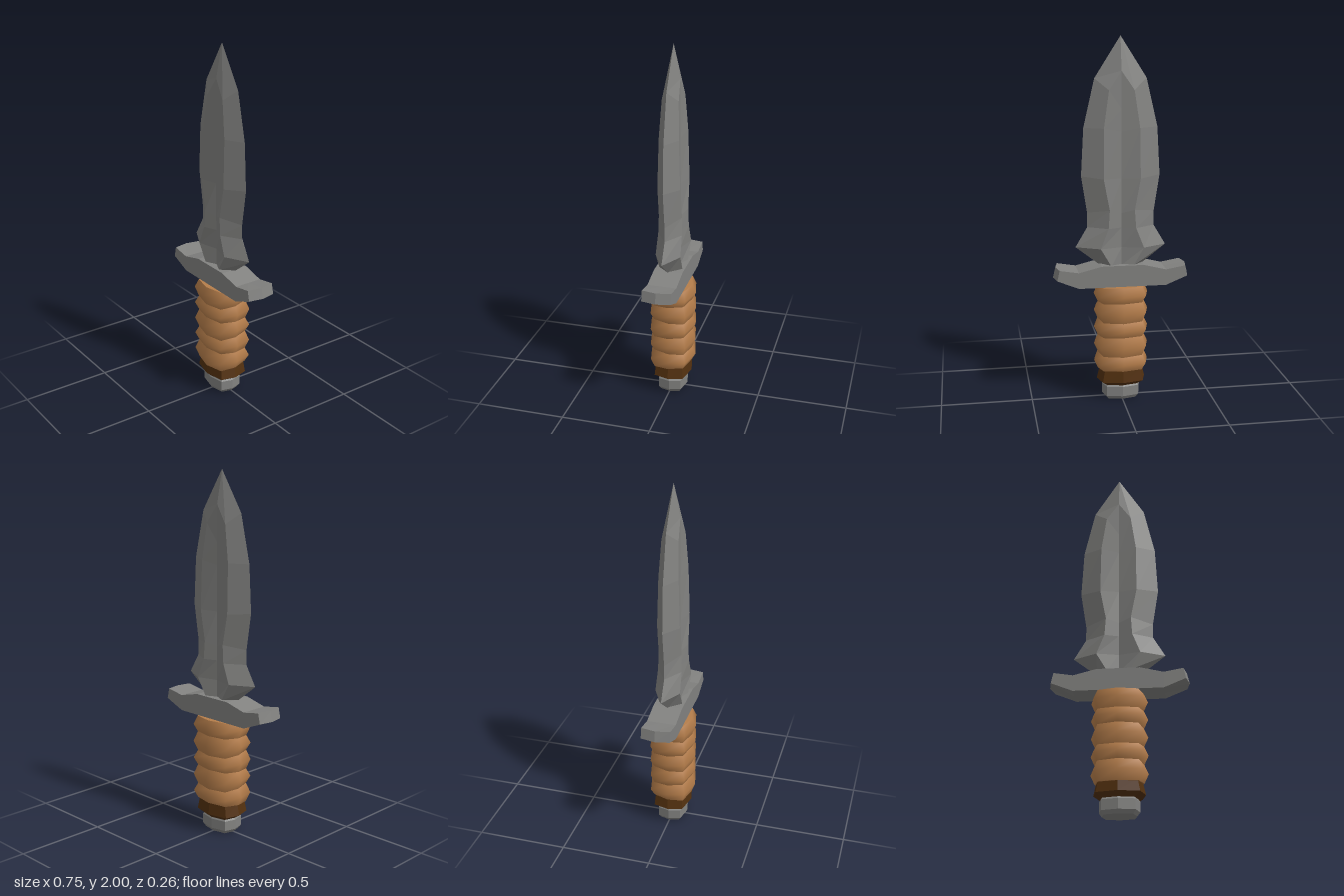
import * as THREE from 'three';

const metal = new THREE.MeshStandardMaterial({ color: 0x828280 });
metal.name = 'grey metal';
const leather = new THREE.MeshStandardMaterial({ color: 0xb67e4b });
leather.name = 'tan leather';
const darkLeather = new THREE.MeshStandardMaterial({ color: 0x52300f });
darkLeather.name = 'dark leather';

// Skin a stack of rings (bottom to top, each running from +x towards +z) and cap both ends
function loft(rings, smooth) {
  const n = rings[0].length, pos = rings.flat(2), idx = [];
  for (let r = 0; r < rings.length - 1; r++) {
    for (let i = 0; i < n; i++) {
      const a = r * n + i, b = r * n + (i + 1) % n;
      idx.push(a, a + n, b, b, a + n, b + n);
    }
  }
  [0, rings.length - 1].forEach((r, top) => {
    const start = pos.length / 3;
    rings[r].forEach(p => pos.push(...p));
    for (let i = 1; i < n - 1; i++) {
      if (top) idx.push(start, start + i + 1, start + i);
      else idx.push(start, start + i, start + i + 1);
    }
  });
  let g = new THREE.BufferGeometry();
  g.setAttribute('position', new THREE.Float32BufferAttribute(pos, 3));
  g.setIndex(idx);
  if (!smooth) g = g.toNonIndexed();
  g.computeVertexNormals();
  return g;
}

// Squashed eight-sided ring; tilt raises the front or the back
function octagon(y, rx, rz, tilt = 0) {
  return [[1, 0], [0.83, 0.77], [0, 1], [-0.83, 0.77], [-1, 0], [-0.83, -0.77], [0, -1], [0.83, -0.77]]
    .map(([x, z]) => [x * rx, y + tilt * z, z * rz]);
}

function addMesh(parent, name, geometry, material) {
  const m = new THREE.Mesh(geometry, material);
  m.name = name;
  parent.add(m);
}

// Leaf-shaped blade with a hollow flute down each face
function bladeGeometry() {
  // edge x, edge y, ridge x, ridge y, ridge z, flute y, flute z
  const rows = [
    [0.12, 0.77, 0.06, 0.77, 0.066, 0.77, 0.038],
    [0.248, 0.87, 0.118, 0.87, 0.069, 0.87, 0.038],
    [0.183, 0.98, 0.075, 0.98, 0.066, 0.98, 0.038],
    [0.183, 1.06, 0.068, 1.08, 0.064, 1.06, 0.038],
    [0.214, 1.26, 0.1, 1.25, 0.062, 1.25, 0.038],
    [0.2, 1.52, 0.097, 1.52, 0.054, 1.5, 0.037],
    [0.14, 1.78, 0.068, 1.72, 0.045, 1.62, 0.036],
    [0, 2, 0, 1.82, 0.036, 1.82, 0.036],
  ];
  return loft(rows.map(([ex, ey, rx, ry, rz, fy, fz]) => [
    [ex, ey, 0], [rx, ry, rz], [0, fy, fz], [-rx, ry, rz],
    [-ex, ey, 0], [-rx, ry, -rz], [0, fy, -fz], [rx, ry, -rz],
  ]), false);
}

// Crossguard with upturned arms whose ends come to a shallow point
function guardGeometry() {
  const half = [[0.24, 0.657], [0.357, 0.705], [0.344, 0.763], [0.24, 0.745], [0.115, 0.776]];
  const mirrored = half.map(([x, y]) => [-x, y]).reverse();
  const shape = new THREE.Shape([...half, ...mirrored].map(p => new THREE.Vector2(...p)));
  const g = new THREE.ExtrudeGeometry(shape, { depth: 0.16, steps: 2, bevelEnabled: false });
  g.translate(0, 0, -0.08);
  const p = g.attributes.position;
  for (let i = 0; i < p.count; i++) {
    if (Math.abs(p.getZ(i)) < 0.01 && Math.abs(p.getX(i)) > 0.3) p.setX(i, p.getX(i) * 1.045);
  }
  g.computeVertexNormals();
  return g;
}

export function createModel() {
  const model = new THREE.Group();
  model.name = 'dagger';

  addMesh(model, 'blade', bladeGeometry(), metal);
  addMesh(model, 'crossguard', guardGeometry(), metal);

  // Grip: five bulging wraps with slightly alternating tilt
  const grip = new THREE.Group();
  grip.name = 'grip';
  const step = 0.0975;
  for (let i = 0; i < 5; i++) {
    const y = 0.168 + i * step, tilt = i % 2 ? 0.008 : -0.008;
    addMesh(grip, 'gripWrap' + (i + 1), loft([
      octagon(y, 0.128, 0.108, tilt),
      octagon(y + step * 0.5, 0.15, 0.129),
      octagon(y + step, 0.128, 0.108, i === 4 ? 0 : -tilt),
    ], true), leather);
  }
  model.add(grip);

  // Dark band below the grip
  addMesh(model, 'gripCollar', loft([
    octagon(0.085, 0.1, 0.082), octagon(0.108, 0.135, 0.107), octagon(0.172, 0.12, 0.1),
  ], false), darkLeather);

  // Faceted pommel
  addMesh(model, 'pommel', loft([
    octagon(0, 0.09, 0.07), octagon(0.02, 0.105, 0.083),
    octagon(0.075, 0.105, 0.083), octagon(0.095, 0.09, 0.07),
  ], false), metal);

  return model;
}
